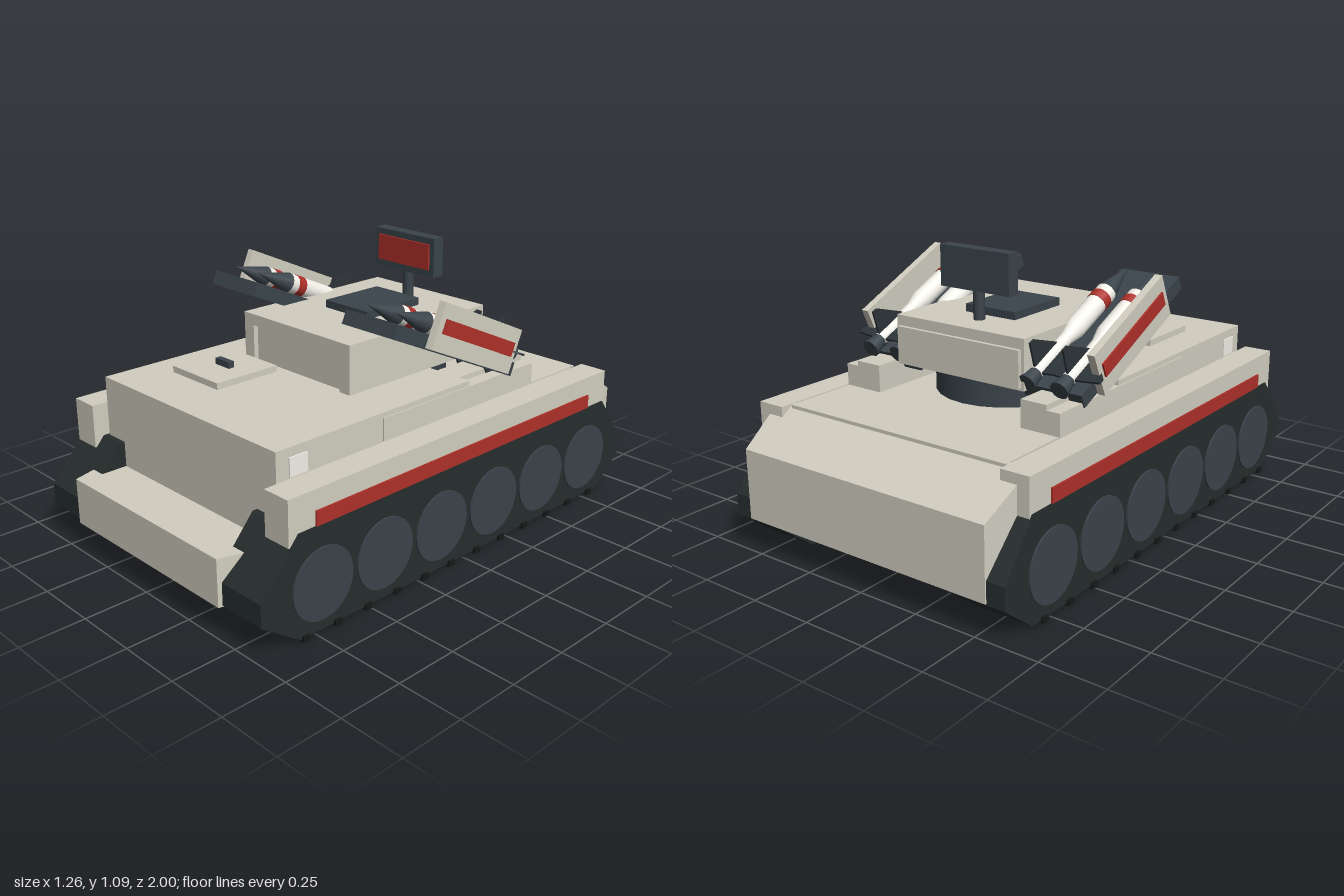
import * as THREE from 'three';

const mat = (color, side = THREE.FrontSide) =>
  new THREE.MeshStandardMaterial({ color, side });
const cream = mat(0xd2cec0), pale = mat(0xf2f0e8), dark = mat(0x3a444b), track = mat(0x272e2e),
  black = mat(0x161918), red = mat(0xae3029), finMat = mat(0x2c3438, THREE.DoubleSide);

function add(parent, name, geometry, material) {
  const mesh = new THREE.Mesh(geometry, material);
  mesh.name = name;
  parent.add(mesh);
  return mesh;
}

// Box given by its limits on each axis
function box(parent, name, material, [x0, x1], [y0, y1], [z0, z1]) {
  const mesh = add(parent, name, new THREE.BoxGeometry(x1 - x0, y1 - y0, z1 - z0), material);
  mesh.position.set((x0 + x1) / 2, (y0 + y1) / 2, (z0 + z1) / 2);
  return mesh;
}

// Side profile of [z, y] points, extruded from x0 to x1
function sideExtrude(points, x0, x1) {
  const shape = new THREE.Shape(points.map(([z, y]) => new THREE.Vector2(-z, y)));
  return new THREE.ExtrudeGeometry(shape, { depth: x1 - x0, bevelEnabled: false })
    .rotateY(Math.PI / 2).translate(x0, 0, 0);
}

// Narrow a geometry in x between two z positions
function taper(geometry, zA, widthA, zB, widthB) {
  const p = geometry.attributes.position;
  for (let i = 0; i < p.count; i++) {
    const t = THREE.MathUtils.clamp((p.getZ(i) - zA) / (zB - zA), 0, 1);
    p.setX(i, Math.sign(p.getX(i)) * (widthA + (widthB - widthA) * t));
  }
  geometry.computeVertexNormals();
  return geometry;
}

function buildHull(g) {
  box(g, 'lowerHull', cream, [-0.4, 0.4], [0.12, 0.45], [-0.86, 0.8]);
  box(g, 'upperHull', cream, [-0.49, 0.49], [0.4, 0.53], [-0.82, 0.8]);
  box(g, 'frontDeck', cream, [-0.49, 0.49], [0.53, 0.635], [-0.15, 0.8]);
  const bow = new THREE.BoxGeometry(0.9, 0.18, 0.2, 1, 1, 2).translate(0, 0.21, 0.9);
  add(g, 'bow', taper(bow, 0.9, 0.45, 1, 0.42), cream);
  const tail = sideExtrude([[-0.8, 0.53], [-0.86, 0.491], [-1, 0.4], [-1, 0.13], [-0.86, 0.13], [-0.8, 0.13]], -0.5, 0.5);
  add(g, 'rearHull', taper(tail, -0.8, 0.575, -1, 0.545), cream);
  // Driver hatch and periscope
  box(g, 'driverHatch', cream, [-0.355, -0.085], [0.63, 0.66], [0.3, 0.585]);
  box(g, 'periscope', dark, [-0.26, -0.18], [0.655, 0.685], [0.43, 0.455]);
  // Drain plugs below the floor
  for (const x of [-0.29, -0.195]) box(g, 'floorPlug', black, [x, x + 0.045], [0.105, 0.13], [0.59, 0.65]);
}

function buildSide(g) {
  // Track loop with cross bars underneath
  const loop = [[0.82, 0.4], [0.985, 0.21], [0.985, 0.125], [0.82, 0.01],
    [-0.85, 0.01], [-0.995, 0.125], [-0.995, 0.21], [-0.85, 0.4]];
  add(g, 'track', sideExtrude(loop, 0.39, 0.62), track);
  box(g, 'trackSole', black, [0.392, 0.618], [0.006, 0.02], [-0.84, 0.81]);
  for (let i = 0; i < 12; i++) {
    const z = 0.8 - i * 0.1445;
    box(g, 'trackPad', black, [0.385, 0.63], [0, 0.022], [z - 0.015, z + 0.015]);
  }
  // Road wheels
  for (let i = 0; i < 6; i++) {
    const wheel = add(g, 'roadWheel', new THREE.CylinderGeometry(0.135, 0.135, 0.03, 24), dark);
    wheel.rotation.z = -Math.PI / 2;
    wheel.position.set(0.612, 0.185, 0.72 - i * 0.292);
  }
  box(g, 'fender', cream, [0.5, 0.615], [0.36, 0.53], [-0.86, 0.86]);
  box(g, 'fenderStripe', red, [0.6, 0.622], [0.4, 0.455], [-0.745, 0.745]);
  box(g, 'sidePanel', pale, [0.48, 0.495], [0.53, 0.6], [0.665, 0.745]);
  box(g, 'deckRail', cream, [0.33, 0.495], [0.53, 0.615], [-0.525, 0.31]);
  box(g, 'deckRailCap', cream, [0.33, 0.44], [0.615, 0.635], [-0.525, -0.14]);
}

function buildTurret(g) {
  const ring = add(g, 'turretRing', new THREE.CylinderGeometry(0.27, 0.27, 0.11, 24), dark);
  ring.position.set(0, 0.585, -0.17);
  box(g, 'turretBody', cream, [-0.293, 0.293], [0.635, 0.825], [-0.455, 0.26]);
  // Frame around the recessed front
  box(g, 'turretFrontLintel', cream, [-0.293, 0.293], [0.78, 0.825], [0.26, 0.28]);
  for (const s of [-1, 1]) {
    const post = box(g, 'turretFrontPost', cream, [0.24, 0.293], [0.635, 0.78], [0.26, 0.28]);
    post.position.x *= s;
  }
  box(g, 'turretRearPlate', cream, [-0.28, 0.28], [0.645, 0.785], [-0.47, -0.45]);
  box(g, 'roofHatch', dark, [-0.115, 0.115], [0.82, 0.855], [-0.27, 0.015]);
  // Radar mast and panel
  const mast = add(g, 'radarMast', new THREE.CylinderGeometry(0.022, 0.022, 0.13, 16), dark);
  mast.position.set(0, 0.885, -0.333);
  box(g, 'radarPanel', dark, [-0.157, 0.157], [0.935, 1.09], [-0.36, -0.307]);
  box(g, 'radarFace', red, [-0.135, 0.135], [0.963, 1.065], [-0.32, -0.299]);
}

// Missile lying along z, with its tip at z = 0
function buildMissile() {
  const m = new THREE.Group();
  m.name = 'missile';
  const tube = (name, rFront, rBack, z0, z1, material) => {
    const part = add(m, name, new THREE.CylinderGeometry(rFront, rBack, z0 - z1, 16), material);
    part.rotation.x = Math.PI / 2;
    part.position.z = (z0 + z1) / 2;
  };
  tube('missileNose', 0, 0.041, 0, -0.165, dark);
  tube('missileBody', 0.04, 0.04, -0.165, -0.4, pale);
  tube('missileBand', 0.042, 0.042, -0.2, -0.24, red);
  tube('missileShoulder', 0.04, 0.026, -0.4, -0.46, pale);
  tube('missileTail', 0.026, 0.026, -0.46, -0.66, pale);
  tube('missileNozzle', 0.026, 0.036, -0.66, -0.72, dark);
  // Four swept fins
  const outline = [[0, -0.48], [0.12, -0.62], [0.12, -0.645], [0, -0.66]];
  const fin = new THREE.ExtrudeGeometry(
    new THREE.Shape(outline.map(([r, z]) => new THREE.Vector2(r, -z))), { depth: 0.008, bevelEnabled: false });
  fin.translate(0, 0, -0.004).rotateX(-Math.PI / 2);
  for (let i = 0; i < 4; i++) add(m, 'missileFin', fin, finMat).rotation.z = i * Math.PI / 2;
  return m;
}

function buildLauncher(side) {
  const l = new THREE.Group();
  l.name = side > 0 ? 'leftLauncher' : 'rightLauncher';
  const span = (a, b) => (side > 0 ? [a, b] : [-b, -a]);
  box(l, 'launchTray', dark, span(0.245, 0.5), [-0.055, 0], [-0.72, 0]);
  box(l, 'launcherShield', cream, span(0.51, 0.54), [-0.05, 0.125], [-0.646, -0.162]);
  box(l, 'shieldBracket', dark, span(0.48, 0.52), [-0.045, -0.01], [-0.6, -0.2]);
  box(l, 'shieldStripe', red, span(0.53, 0.547), [0.015, 0.07], [-0.62, -0.19]);
  for (const x of [0.302, 0.44]) {
    const missile = buildMissile();
    missile.position.set(side * x, 0.037, -0.035);
    l.add(missile);
  }
  l.position.set(0, 0.944, 0.25);
  l.rotation.x = -0.426;
  return l;
}

export function createModel() {
  const model = new THREE.Group();
  model.name = 'missileCarrier';
  const group = (name) => {
    const g = new THREE.Group();
    g.name = name;
    model.add(g);
    return g;
  };
  buildHull(group('hull'));
  buildSide(group('leftRunningGear'));
  // The far side is the same assembly turned by mirroring
  const right = group('rightRunningGear');
  buildSide(right);
  right.scale.x = -1;
  buildTurret(group('turret'));
  for (const side of [1, -1]) model.add(buildLauncher(side));
  return model;
}
